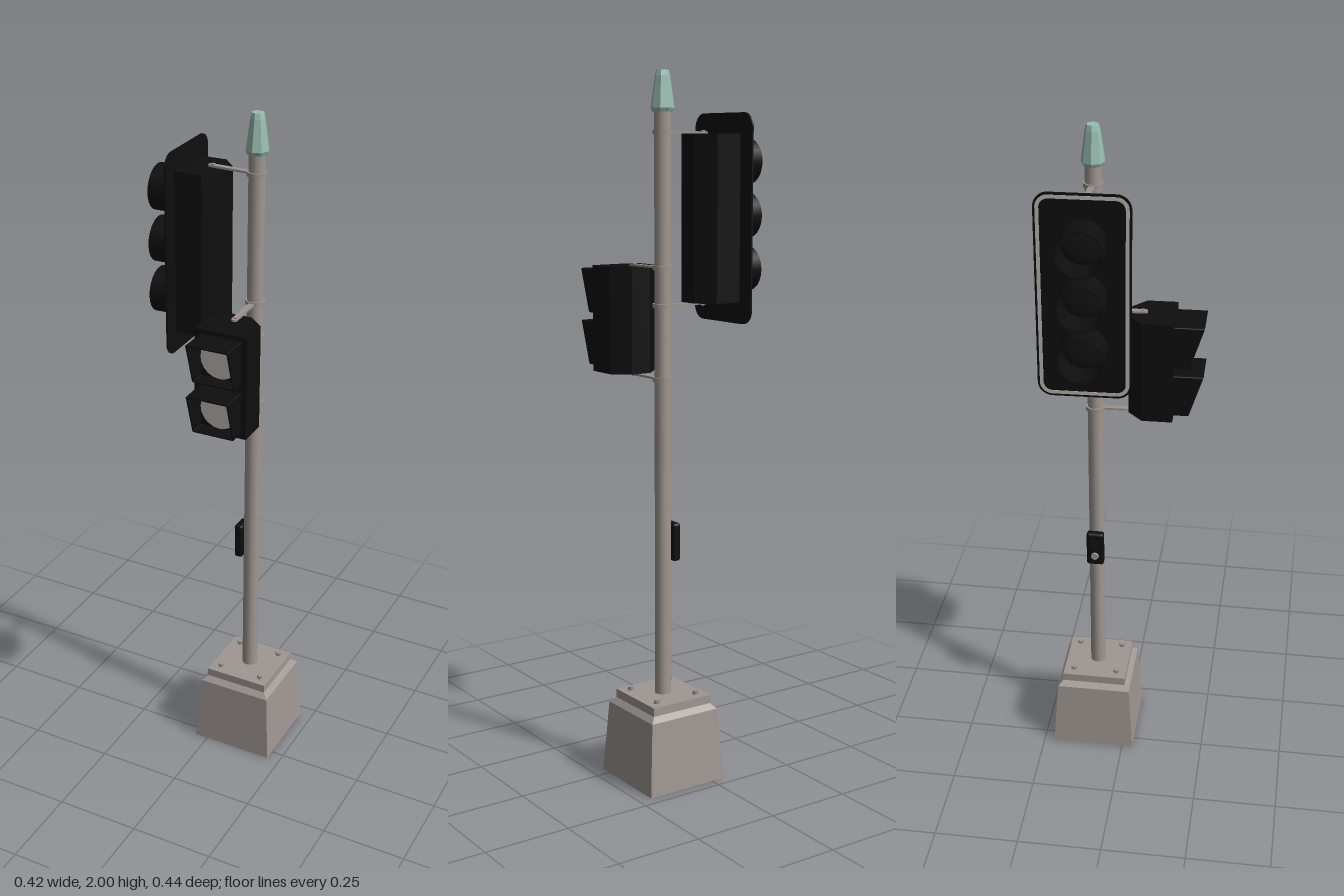
import * as THREE from 'three';
import { toCreasedNormals } from 'three/addons/utils/BufferGeometryUtils.js';
import { RoundedBoxGeometry } from 'three/addons/geometries/RoundedBoxGeometry.js';

const POLE_X = 0.085, POLE_Z = -0.093;

function material(name, color, side = THREE.FrontSide) {
  const m = new THREE.MeshStandardMaterial({ color, side });
  m.name = name;
  return m;
}

function add(parent, name, geometry, mat, x = 0, y = 0, z = 0) {
  const mesh = new THREE.Mesh(geometry, mat);
  mesh.name = name;
  mesh.position.set(x, y, z);
  parent.add(mesh);
  return mesh;
}

function roundedRect(target, w, h, r) {
  const x = w / 2, y = h / 2;
  target.moveTo(x, -y + r);
  target.lineTo(x, y - r);
  target.absarc(x - r, y - r, r, 0, Math.PI / 2);
  target.absarc(-x + r, y - r, r, Math.PI / 2, Math.PI);
  target.absarc(-x + r, -y + r, r, Math.PI, Math.PI * 1.5);
  target.absarc(x - r, -y + r, r, Math.PI * 1.5, Math.PI * 2);
  return target;
}

const extrude = (shape, depth) =>
  new THREE.ExtrudeGeometry(shape, { depth, bevelEnabled: false, curveSegments: 8 });

// Four-sided shell from [half width, height] rings
function squareLoft(profile) {
  const pts = profile.map(([half, y]) => new THREE.Vector2(half * Math.SQRT2, y));
  const g = new THREE.LatheGeometry(pts, 4, Math.PI / 4);
  return toCreasedNormals(g, 0.1);
}

// Signal case: front at depth, chamfered towards a narrow back at z = 0
function caseGeometry(width, backWidth, chamfer, depth, height) {
  const w = width / 2, b = backWidth / 2;
  const s = new THREE.Shape([[-w, -depth], [w, -depth], [w, -chamfer], [b, 0], [-b, 0], [-w, -chamfer]]
    .map(([x, y]) => new THREE.Vector2(x, y)));
  return extrude(s, height).rotateX(-Math.PI / 2);
}

// Hollow square hood whose front slopes back towards the bottom
function hoodGeometry(w, h, topDepth, bottomDepth) {
  const s = roundedRect(new THREE.Shape(), w, h, 0.004);
  s.holes.push(roundedRect(new THREE.Path(), w - 0.008, h - 0.008, 0.003));
  const g = extrude(s, 1);
  const p = g.attributes.position;
  for (let i = 0; i < p.count; i++) {
    const t = p.getY(i) / h + 0.5;
    p.setZ(i, p.getZ(i) * THREE.MathUtils.lerp(bottomDepth, topDepth, t));
  }
  g.computeVertexNormals();
  return g;
}

// Round hood as a thick-walled tube along z
function tubeGeometry(outer, inner, depth) {
  const pts = [[inner, 0], [outer, 0], [outer, depth], [inner, depth], [inner, 0]]
    .map(([r, y]) => new THREE.Vector2(r, y));
  return toCreasedNormals(new THREE.LatheGeometry(pts, 24), 0.6).rotateX(Math.PI / 2);
}

export function createModel() {
  const concrete = material('warm grey', 0x9f9792, THREE.DoubleSide);
  const steel = material('bracket grey', 0x9b938f);
  const black = material('signal black', 0x0e0e0e);
  const darkLens = material('unlit lens', 0x141212);
  const paleLens = material('pale lens', 0xb9b3ae);
  const capGreen = material('cap green', 0x98bdb1);

  const model = new THREE.Group();
  model.name = 'trafficSignal';

  // Foundation, open underneath, and pole
  const post = new THREE.Group();
  post.name = 'post';
  post.position.set(POLE_X, 0, POLE_Z);
  model.add(post);
  add(post, 'foundation', squareLoft([[0.126, 0], [0.112, 0.21], [0.097, 0.225], [0.097, 0.25], [0, 0.25]]), concrete);
  for (const x of [-0.067, 0.067]) for (const z of [-0.067, 0.067])
    add(post, 'anchorBolt', new THREE.CylinderGeometry(0.009, 0.009, 0.01, 4).toNonIndexed(), steel, x, 0.255, z);
  add(post, 'pole', new THREE.CylinderGeometry(0.023, 0.023, 1.66, 16), concrete, 0, 1.08, 0);

  // Octagonal cap
  const capProfile = [[0, 1.89], [0.028, 1.89], [0.033, 1.9], [0.021, 1.985], [0.017, 2], [0, 2]]
    .map(([r, y]) => new THREE.Vector2(r, y));
  add(post, 'poleCap', toCreasedNormals(new THREE.LatheGeometry(capProfile, 8), 0.1), capGreen);

  // Pole clamps with flat arms reaching out to a signal
  function bracket(y, angle, length, boltOffset) {
    const g = new THREE.Group();
    g.name = 'bracket';
    g.position.y = y;
    g.rotation.y = angle;
    post.add(g);
    add(g, 'clamp', new THREE.CylinderGeometry(0.028, 0.028, 0.012, 16), steel);
    add(g, 'arm', new THREE.BoxGeometry(0.017, 0.006, length - 0.02), steel, 0, 0, 0.02 + (length - 0.02) / 2);
    add(g, 'armEnd', new THREE.CylinderGeometry(0.0085, 0.0085, 0.006, 12), steel, 0, 0, length);
    add(g, 'armBolt', new THREE.BoxGeometry(0.009, 0.012, 0.009), steel, 0, 0, length - boltOffset);
  }
  for (const y of [1.836, 1.367]) bracket(y, -Math.PI / 2 - 0.03, 0.138, 0.006);
  for (const y of [1.471, 1.162]) bracket(y, 0.045, 0.14, 0.006);

  // Three-lamp vehicle signal, turned to the side
  const vehicle = new THREE.Group();
  vehicle.name = 'vehicleSignal';
  vehicle.position.set(0, 0, -0.0925);
  vehicle.rotation.y = -Math.PI / 2 + 0.027;
  model.add(vehicle);
  add(vehicle, 'vehicleCase', caseGeometry(0.155, 0.06, 0.042, 0.127, 0.463), black, 0, 1.37, 0);
  add(vehicle, 'backplate', extrude(roundedRect(new THREE.Shape(), 0.255, 0.58, 0.04), 0.005), black, 0, 1.6, 0.122);
  const rim = roundedRect(new THREE.Shape(), 0.243, 0.568, 0.034);
  rim.holes.push(roundedRect(new THREE.Path(), 0.223, 0.548, 0.025));
  add(vehicle, 'reflectiveBorder', extrude(rim, 0.001), paleLens, 0, 1.6, 0.127);
  for (const y of [1.757, 1.607, 1.457]) {
    add(vehicle, 'roundHood', tubeGeometry(0.065, 0.061, 0.084), black, 0, y, 0.127);
    const lens = add(vehicle, 'vehicleLens', new THREE.SphereGeometry(0.061, 20, 6, 0, Math.PI * 2, 0, Math.PI / 2), darkLens, 0, y, 0.127);
    lens.rotation.x = Math.PI / 2;
    lens.scale.y = 0.2;
  }

  // Two-lamp pedestrian signal, facing forwards
  const walk = new THREE.Group();
  walk.name = 'pedestrianSignal';
  walk.position.set(0.0915, 0, 0.005);
  walk.rotation.y = 0.02;
  model.add(walk);
  add(walk, 'pedestrianCase', caseGeometry(0.154, 0.062, 0.042, 0.129, 0.302), black, 0, 1.166, 0);
  for (const y of [1.392, 1.242]) {
    add(walk, 'squareHood', hoodGeometry(0.124, 0.125, 0.085, 0.045), black, 0, y, 0.128);
    const lens = add(walk, 'pedestrianLens', new THREE.CylinderGeometry(0.057, 0.057, 0.006, 20), paleLens, 0, y, 0.131);
    lens.rotation.x = Math.PI / 2;
  }

  // Crossing push-button on the pole
  const button = new THREE.Group();
  button.name = 'pushButton';
  button.position.set(0.052, 0.695, POLE_Z);
  button.rotation.y = -Math.PI / 2;
  model.add(button);
  add(button, 'buttonBox', new RoundedBoxGeometry(0.052, 0.11, 0.026, 2, 0.008), black);
  const knob = add(button, 'buttonKnob', new THREE.CylinderGeometry(0.011, 0.013, 0.008, 14), steel, 0, -0.022, 0.014);
  knob.rotation.x = Math.PI / 2;
  add(button, 'buttonSign', new THREE.BoxGeometry(0.022, 0.026, 0.002), darkLens, 0, 0.022, 0.0135);

  return model;
}
